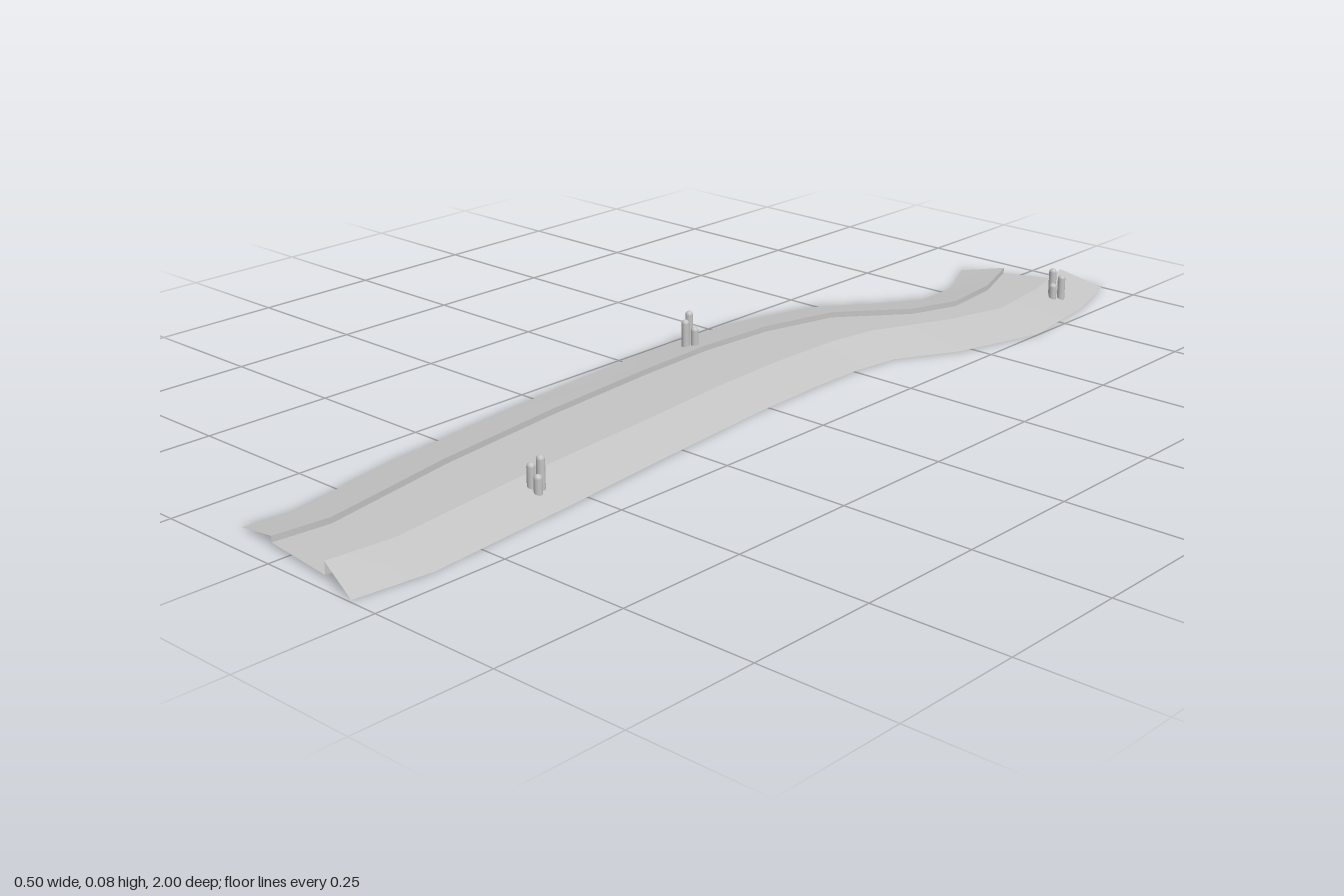
import * as THREE from 'three';

const WATER_Y = 0.006, LEFT_TOP = 0.017, RIGHT_TOP = 0.029;

// Paired [x, z] stations along the stream, from the back end to the front end
const outerLeft = [[-0.114, -0.90], [-0.055, -0.79], [-0.05, -0.69], [-0.09, -0.62], [-0.19, -0.49], [-0.24, -0.305],
  [-0.248, -0.14], [-0.24, 0.03], [-0.215, 0.30], [-0.18, 0.60], [-0.13, 0.86], [-0.14, 0.945]];
const innerLeft = [[-0.025, -0.93], [0.02, -0.81], [0.035, -0.68], [0, -0.58], [-0.105, -0.455], [-0.145, -0.30],
  [-0.155, -0.14], [-0.147, 0.03], [-0.125, 0.29], [-0.09, 0.57], [-0.037, 0.85], [-0.048, 0.957]];
const innerRight = [[0.09, -0.97], [0.13, -0.825], [0.15, -0.67], [0.115, -0.545], [0.045, -0.39], [0.03, -0.29],
  [0.027, -0.14], [0.035, 0.03], [0.06, 0.29], [0.083, 0.57], [0.117, 0.85], [0.105, 0.975]];
const outerRight = [[0.175, -1.0], [0.22, -0.85], [0.247, -0.66], [0.195, -0.475], [0.13, -0.355], [0.117, -0.255],
  [0.117, -0.14], [0.125, 0.03], [0.15, 0.29], [0.18, 0.57], [0.206, 0.85], [0.19, 0.995]];

// Ribbon between two edge lines at heights ya and yb; line a lies to the left of line b
function ribbon(name, a, ya, b, yb, material) {
  const pos = [], index = [];
  a.forEach(([x, z], i) => {
    pos.push(x, ya, z, b[i][0], yb, b[i][1]);
    if (i > 0) {
      const k = 2 * i;
      index.push(k - 2, k, k - 1, k - 1, k, k + 1);
    }
  });
  const geometry = new THREE.BufferGeometry();
  geometry.setAttribute('position', new THREE.Float32BufferAttribute(pos, 3));
  geometry.setIndex(index);
  geometry.computeVertexNormals();
  const mesh = new THREE.Mesh(geometry, material);
  mesh.name = name;
  return mesh;
}

// Clump of round-topped reeds; each stem is [x, z, height]
function reedClump(name, stems, material) {
  const group = new THREE.Group();
  group.name = name;
  const r = 0.0075;
  for (const [x, z, h] of stems) {
    const stem = new THREE.Mesh(new THREE.CapsuleGeometry(r, h - 2 * r, 4, 10), material);
    stem.name = 'reed';
    stem.position.set(x, h / 2, z);
    group.add(stem);
  }
  return group;
}

export function createModel() {
  const model = new THREE.Group();
  model.name = 'stream';
  const grey = new THREE.MeshStandardMaterial({ color: 0xc4c4c4, side: THREE.DoubleSide });
  grey.name = 'plain grey';

  // Water and the two sloping banks with their upright inner walls
  model.add(
    ribbon('water', innerLeft, WATER_Y, innerRight, WATER_Y, grey),
    ribbon('leftBank', outerLeft, 0, innerLeft, LEFT_TOP, grey),
    ribbon('leftBankWall', innerLeft, LEFT_TOP, innerLeft, WATER_Y, grey),
    ribbon('rightBankWall', innerRight, WATER_Y, innerRight, RIGHT_TOP, grey),
    ribbon('rightBank', innerRight, RIGHT_TOP, outerRight, 0, grey),
  );

  // Reeds on the banks
  model.add(
    reedClump('backReeds', [[0.158, -0.838, 0.075], [0.175, -0.845, 0.063], [0.167, -0.827, 0.048]], grey),
    reedClump('middleReeds', [[-0.201, -0.142, 0.075], [-0.195, -0.125, 0.063], [-0.183, -0.138, 0.048]], grey),
    reedClump('frontReeds', [[0.121, 0.552, 0.075], [0.111, 0.564, 0.063], [0.129, 0.566, 0.048]], grey),
  );
  return model;
}
